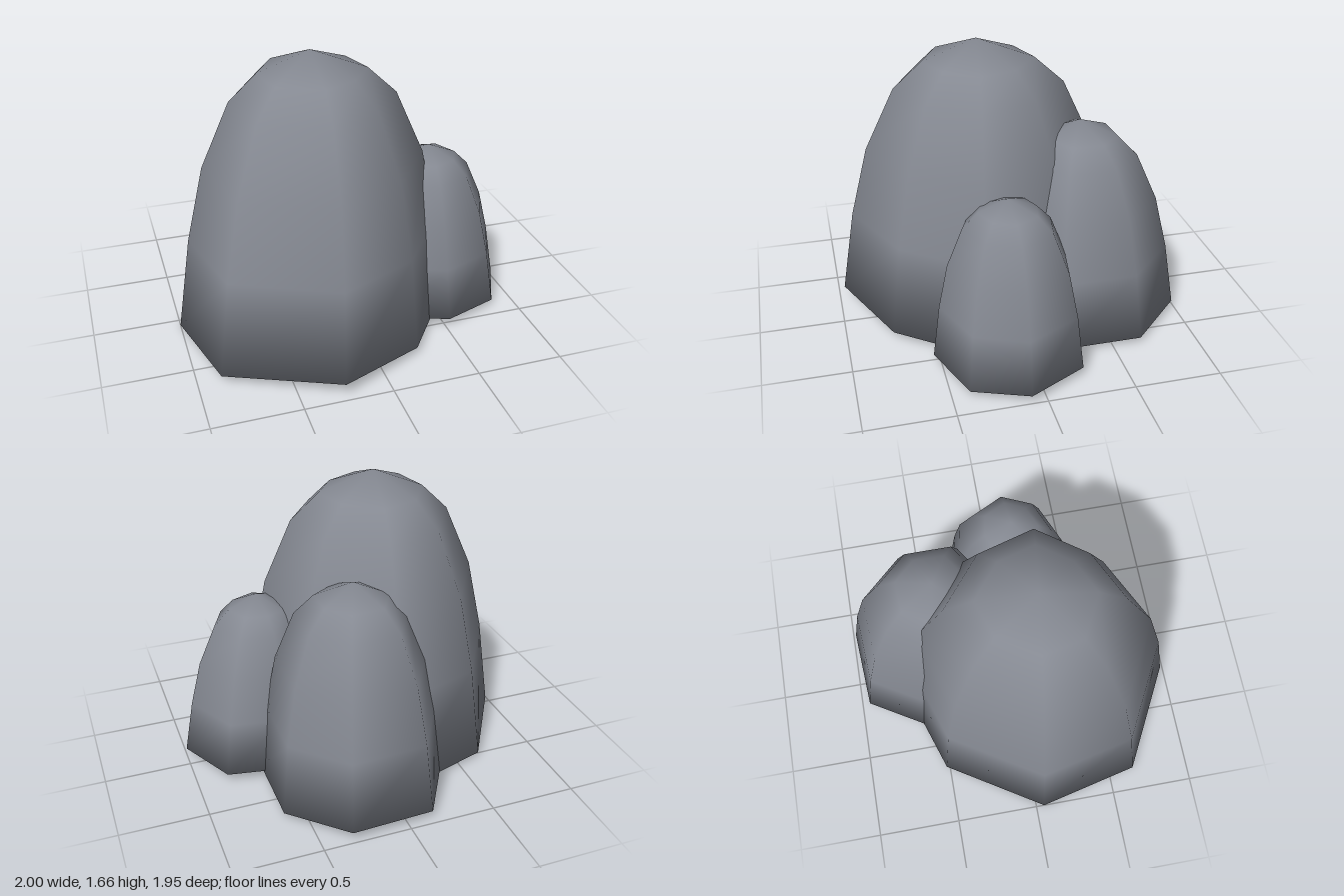
import * as THREE from 'three';

// Height fraction and width scale of each ring between base and tip
const RINGS = [[0, 1], [0.34, 0.91], [0.61, 0.79], [0.836, 0.585], [0.928, 0.385]];

// Domed boulder: an irregular octagonal base [x, y, z] shrinking towards a tip
function boulder(name, base, centre, tip, material) {
  const n = base.length;
  const positions = [];
  const index = [];
  for (const [h, s] of RINGS) {
    const cx = THREE.MathUtils.lerp(centre[0], tip[0], h);
    const cz = THREE.MathUtils.lerp(centre[1], tip[2], h);
    for (const [x, y, z] of base) {
      positions.push(cx + (x - centre[0]) * s, y * (1 - h) ** 2 + tip[1] * h, cz + (z - centre[1]) * s);
    }
  }
  const top = positions.length / 3;
  positions.push(...tip, centre[0], 0.025, centre[1]);
  for (let i = 0; i < n; i++) {
    const j = (i + 1) % n;
    // Side panels
    for (let r = 0; r < RINGS.length - 1; r++) {
      const a = r * n + i, b = r * n + j;
      index.push(a, b, b + n, a, b + n, a + n);
    }
    // Peak and underside
    const last = (RINGS.length - 1) * n;
    index.push(last + i, last + j, top, j, i, top + 1);
  }
  const geometry = new THREE.BufferGeometry();
  geometry.setAttribute('position', new THREE.Float32BufferAttribute(positions, 3));
  geometry.setIndex(index);
  geometry.computeVertexNormals();
  const mesh = new THREE.Mesh(geometry, material);
  mesh.name = name;
  return mesh;
}

export function createModel() {
  const group = new THREE.Group();
  group.name = 'rockCluster';
  const stone = new THREE.MeshStandardMaterial({ color: 0x858992 });
  stone.name = 'greyStone';

  // Base corners run left, front, right, back
  group.add(boulder('largeRock', [
    [-1, 0, 0.05], [-0.87, 0.04, 0.65], [-0.26, 0.08, 0.97], [0.24, 0.04, 0.73],
    [0.58, 0.03, 0.26], [0.42, 0.03, -0.3], [-0.08, 0.03, -0.71], [-0.65, 0.02, -0.52],
  ], [-0.25, 0.15], [-0.2, 1.66, 0.12], stone));

  group.add(boulder('backRock', [
    [-0.4, 0.03, -0.53], [-0.2, 0.03, -0.05], [0.22, 0.03, 0.05], [0.62, 0.03, -0.2],
    [0.62, 0.03, -0.67], [0.33, 0.05, -0.98], [-0.15, 0.04, -0.95],
  ], [0.12, -0.46], [0.12, 1.24, -0.41], stone));

  group.add(boulder('smallRock', [
    [0.15, 0.04, 0.1], [0.25, 0.04, 0.42], [0.52, 0.05, 0.54], [0.86, 0.03, 0.4],
    [1, 0.05, 0.09], [0.83, 0.05, -0.25], [0.5, 0.05, -0.31], [0.25, 0.04, -0.2],
  ], [0.57, 0.12], [0.52, 1, 0.11], stone));

  return group;
}
